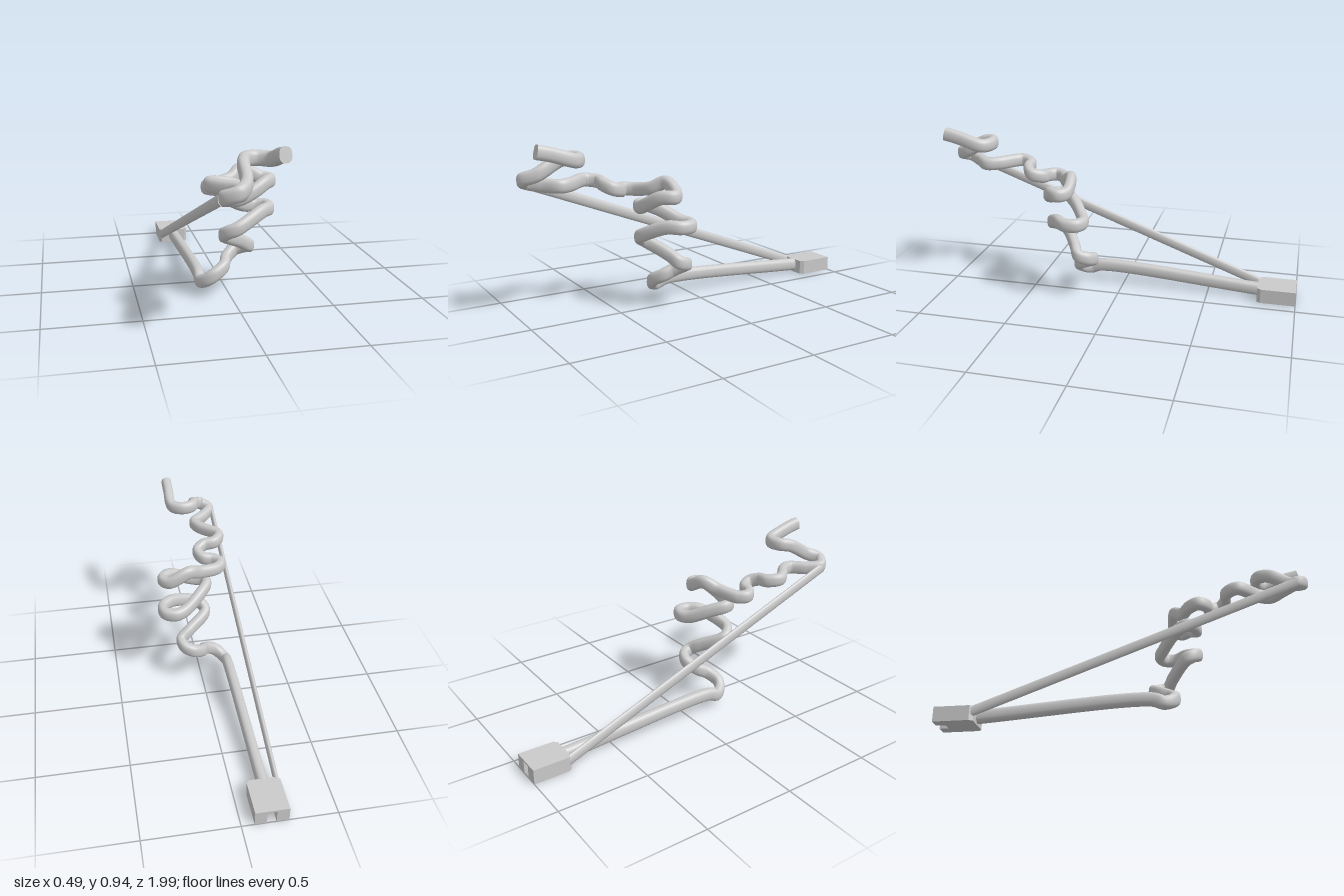
import * as THREE from 'three';
import { ParametricGeometry } from 'three/addons/geometries/ParametricGeometry.js';

const UP = new THREE.Vector3(0, 1, 0);

export function createModel() {
  const group = new THREE.Group();
  const grey = new THREE.MeshStandardMaterial({ color: 0xcacaca });
  grey.name = 'grey';
  const add = (name, geometry) => {
    const mesh = new THREE.Mesh(geometry, grey);
    mesh.name = name;
    group.add(mesh);
    return mesh;
  };

  // Centre line of the pipe: straight run, rising loops, wiggle and final hook
  const path = [
    [-0.155, 0.045, -0.82], [-0.155, 0.1, 0.14], [-0.155, 0.08, 0.2], [-0.13, 0.095, 0.24],
    [-0.09, 0.125, 0.255], [-0.03, 0.16, 0.225], [-0.005, 0.19, 0.17], [0.05, 0.225, 0.13],
    [0.1, 0.245, 0.15], [0.113, 0.262, 0.2], [0.06, 0.3, 0.235], [-0.05, 0.365, 0.32],
    [-0.035, 0.39, 0.36], [0.01, 0.412, 0.378], [0.16, 0.477, 0.3], [0.21, 0.477, 0.245],
    [0.205, 0.477, 0.185], [0.15, 0.477, 0.158], [0.09, 0.485, 0.18], [-0.01, 0.54, 0.255],
    [-0.058, 0.565, 0.32], [-0.045, 0.567, 0.36], [0.01, 0.568, 0.378], [0.09, 0.6, 0.37],
    [0.165, 0.638, 0.335], [0.203, 0.64, 0.285], [0.165, 0.645, 0.245], [0.055, 0.695, 0.25],
    [-0.01, 0.66, 0.3], [-0.125, 0.642, 0.35], [-0.155, 0.645, 0.395], [-0.12, 0.647, 0.44],
    [-0.06, 0.655, 0.455], [-0.036, 0.67, 0.51], [-0.08, 0.69, 0.545], [-0.145, 0.7, 0.55],
    [-0.182, 0.708, 0.61], [-0.08, 0.708, 0.73], [-0.062, 0.706, 0.79], [-0.13, 0.708, 0.86],
    [-0.178, 0.72, 0.93], [-0.125, 0.745, 0.965], [-0.075, 0.772, 0.91], [-0.062, 0.84, 0.79],
    [-0.035, 0.85, 0.735], [0.02, 0.85, 0.722], [0.075, 0.85, 0.76], [0.082, 0.89, 0.89],
    [0.082, 0.907, 0.965],
  ];
  const curve = new THREE.CatmullRomCurve3(
    path.map((p) => new THREE.Vector3(...p)), false, 'centripetal');
  curve.arcLengthDivisions = 2000;

  // Point on the upright, rounded-oblong section of the pipe
  const soften = (n) => Math.sign(n) * Math.abs(n) ** 0.78;
  const section = (along, around, size, target) => {
    const tangent = curve.getTangentAt(along);
    const side = new THREE.Vector3().crossVectors(tangent, UP).normalize();
    const top = new THREE.Vector3().crossVectors(side, tangent);
    const angle = around * Math.PI * 2;
    target.copy(curve.getPointAt(along))
      .addScaledVector(side, 0.029 * size * soften(Math.cos(angle)))
      .addScaledVector(top, 0.037 * size * soften(Math.sin(angle)));
  };
  add('windingPipe', new ParametricGeometry((u, v, p) => section(u, v, 1, p), 480, 20));
  add('pipeEndCap', new ParametricGeometry((u, v, p) => section(1, v, 1 - 0.999 * u, p), 1, 20));

  // Slim strut from the base block up to the high bend
  const foot = new THREE.Vector3(-0.228, 0.045, -0.82);
  const head = new THREE.Vector3(-0.194, 0.715, 0.93);
  const strut = new THREE.CylinderGeometry(1, 1, foot.distanceTo(head), 14);
  const bar = add('strut', strut.scale(0.014, 1, 0.029));
  bar.position.copy(foot).add(head).multiplyScalar(0.5);
  bar.quaternion.setFromUnitVectors(UP, head.clone().sub(foot).normalize());

  // Base block: slotted lower body with a closed lid, plan drawn as (x, -z)
  const slab = (name, slot, y, height) => {
    const outline = [[-0.245, 1], [-0.245, 0.805], [-0.23, 0.785],
      [-0.083, 0.785], [-0.068, 0.805], [-0.068, 1], ...slot];
    const shape = new THREE.Shape(outline.map(([x, d]) => new THREE.Vector2(x, d)));
    const geometry = new THREE.ExtrudeGeometry(shape, { depth: height, bevelEnabled: false });
    add(name, geometry.rotateX(-Math.PI / 2).translate(0, y, 0));
  };
  slab('baseBlock', [[-0.13, 1], [-0.13, 0.95], [-0.18, 0.95], [-0.18, 1]], 0, 0.072);
  slab('baseLid', [], 0.072, 0.01);

  return group;
}
